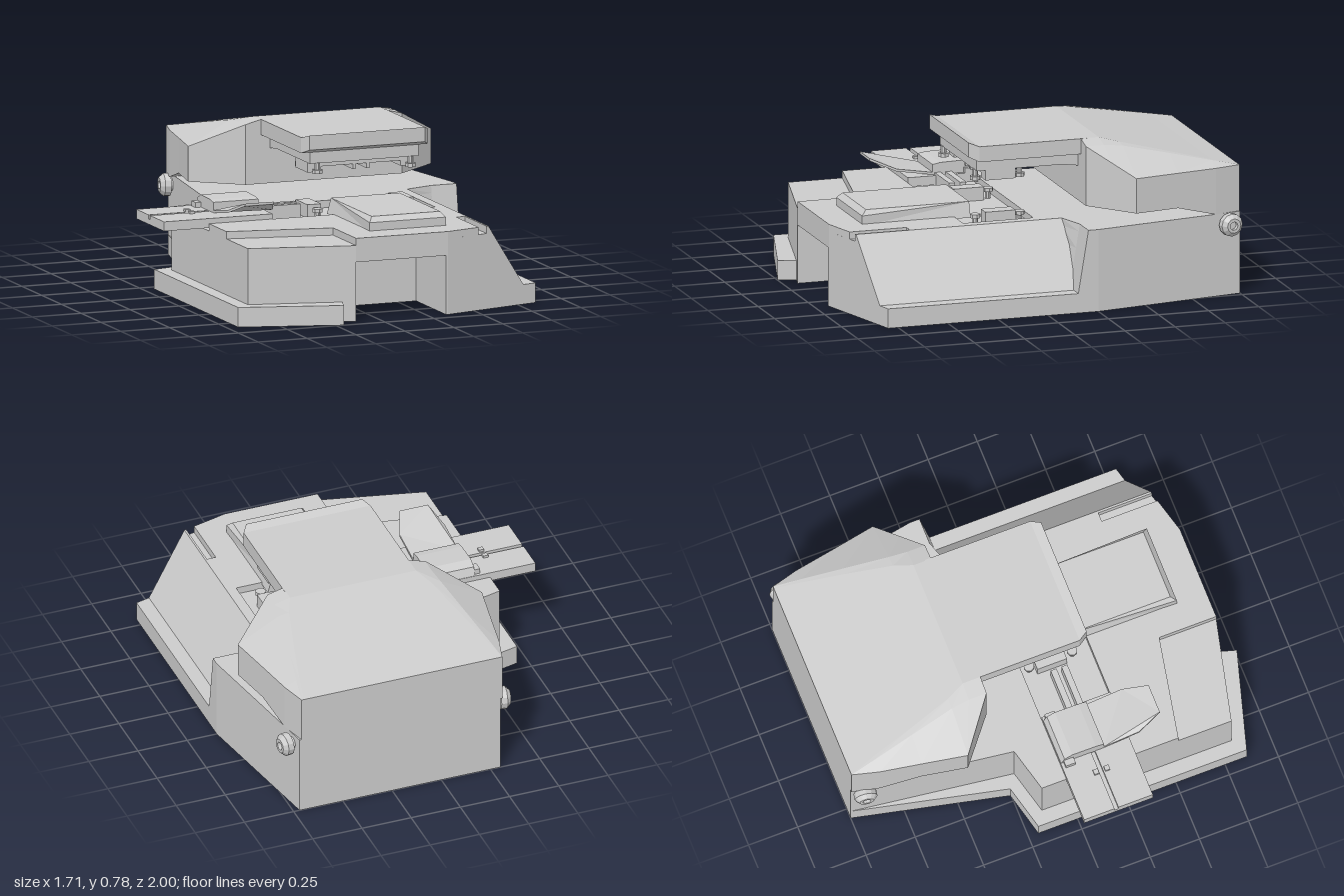
import * as THREE from 'three';

const mat = new THREE.MeshStandardMaterial({ color: 0xcccccc, flatShading: true, side: THREE.DoubleSide });
const MID = 0.2; // centre line of hood and head

export function createModel() {
  const model = new THREE.Group();

  const add = (name, geo) => {
    const m = new THREE.Mesh(geo, mat);
    m.name = name;
    model.add(m);
    return m;
  };
  const extrude = (pts, depth) => new THREE.ExtrudeGeometry(
    new THREE.Shape(pts.map(p => new THREE.Vector2(p[0], p[1]))), { depth, bevelEnabled: false });
  // Plan outline [x, z] raised from y0 to y1
  const slab = (name, pts, y0, y1) => {
    const g = extrude(pts.map(([x, z]) => [x, -z]), y1 - y0);
    return add(name, g.rotateX(-Math.PI / 2).translate(0, y0, 0));
  };
  // Side profile [z, y] swept from x0 to x1
  const sweep = (name, pts, x0, x1) => {
    const g = extrude(pts.map(([z, y]) => [-z, y]), x1 - x0);
    return add(name, g.rotateY(Math.PI / 2).translate(x0, 0, 0));
  };
  const box = (name, x0, x1, y0, y1, z0, z1) => add(name,
    new THREE.BoxGeometry(x1 - x0, y1 - y0, z1 - z0).translate((x0 + x1) / 2, (y0 + y1) / 2, (z0 + z1) / 2));
  const bend = (mesh, rule) => {
    const p = mesh.geometry.attributes.position, v = new THREE.Vector3();
    for (let i = 0; i < p.count; i++) {
      v.fromBufferAttribute(p, i);
      rule(v);
      p.setXYZ(i, v.x, v.y, v.z);
    }
    mesh.geometry.computeVertexNormals();
    return mesh;
  };

  // Body in three layers: notched, solid, and deck with its recesses
  const back = [[0.58, -0.155], [0.72, -0.2], [0.85, -0.2], [0.85, -0.25], [0.72, -1], [-0.3, -1], [-0.405, -0.21], [-0.625, -0.155]];
  const lean = v => { if (v.x > 0.7 && Math.abs(v.z + 0.2) < 0.001) v.z += 0.066 * (1 - v.y / 0.4); };
  bend(slab('lowerBody', [...back, [-0.625, 0.81], [-0.12, 0.93], [-0.12, 0.55], [0.34, 0.55], [0.34, 0.93],
    [0.35, 0.93], [0.58, 0.87]], 0, 0.285), lean);
  bend(slab('middleBody', [...back, [-0.625, 0.81], [-0.12, 0.93], [0.35, 0.93], [0.58, 0.87]], 0.285, 0.365), lean);
  bend(slab('deck', [...back, [-0.625, -0.03], [0.53, -0.03], [0.53, 0.32], [-0.625, 0.32], [-0.625, 0.54],
    [-0.12, 0.64], [-0.12, 0.93], [0.35, 0.93], [0.525, 0.884], [0.525, 0.6], [0.58, 0.6]], 0.365, 0.4), lean);

  // Low ledge on the right-hand side of the body
  slab('baseLedge', [[-0.3, -1], [-0.47, -0.255], [-0.695, -0.2], [-0.695, 0.86], [-0.21, 1], [-0.18, 0.9],
    [-0.2, 0.5], [-0.2, -0.9]], 0, 0.095);

  // Sloping flank, front end cut along the slanted front
  const flank = add('slopedFlank', extrude([[0.57, 0], [0.85, 0], [0.85, 0.095], [0.78, 0.095], [0.58, 0.4], [0.57, 0.4]], 1));
  bend(flank, v => { v.z = v.z > 0.5 ? 0.87 - (v.x - 0.58) * 0.26 : (v.x < 0.6 ? -0.155 : -0.21); });

  // Hood lofted through sections [z, bottom, half width, side top, ridge half width, ridge y, crown half width, crown y]
  const sections = [
    [-0.27, 0.455, 0.4, 0.745, 0.4, 0.745, 0.32, 0.765],
    [-0.36, 0.455, 0.51, 0.685, 0.4, 0.745, 0.32, 0.765],
    [-0.45, 0.455, 0.62, 0.625, 0.41, 0.738, 0.36, 0.745],
    [-0.67, 0.455, 0.58, 0.625, 0.45, 0.694, 0.42, 0.697],
    [-0.87, 0.4, 0.545, 0.625, 0.487, 0.652, 0.47, 0.653],
    [-1, 0.39, 0.51, 0.625, 0.51, 0.625, 0.5, 0.625],
  ].map(([z, b, w, s, rw, ry, cw, cy]) => {
    const half = [[w, b], [w, s], [rw, ry], [cw, cy]];
    return [...half, ...half.map(([x, y]) => [-x, y]).reverse()].map(([x, y]) => [MID + x, y, z]);
  });
  const tris = [];
  const n = 8, last = sections.length - 1;
  for (let i = 0; i < last; i++) {
    for (let j = 0; j < n; j++) {
      const a = sections[i][j], b = sections[i][(j + 1) % n];
      const d = sections[i + 1][j], c = sections[i + 1][(j + 1) % n];
      tris.push(a, d, c, a, c, b);
    }
  }
  for (let j = 1; j < n - 1; j++) {
    tris.push(sections[0][0], sections[0][j], sections[0][j + 1]);
    tris.push(sections[last][0], sections[last][j + 1], sections[last][j]);
  }
  const hood = new THREE.BufferGeometry();
  hood.setAttribute('position', new THREE.Float32BufferAttribute(tris.flat(), 3));
  hood.computeVertexNormals();
  add('hood', hood);

  // Head reaching forward from the hood, with a chamfered front lip
  bend(sweep('head', [[0.28, 0.71], [0.28, 0.78], [0.235, 0.765], [-0.3, 0.765], [-0.3, 0.69], [0.235, 0.69]], -0.12, 0.525),
    v => { if (v.z > 0.27) v.x += v.x < MID ? 0.025 : -0.03; });
  sweep('headUnderside', [[0.235, 0.635], [0.235, 0.7], [-0.3, 0.7], [-0.3, 0.62], [-0.19, 0.635]], -0.075, 0.48);
  box('upperPlate', -0.02, 0.43, 0.61, 0.64, 0.04, 0.19);
  for (const x of [0.17, 0.24]) box('pin', x - 0.007, x + 0.007, 0.585, 0.64, 0.04, 0.19);

  // Facing clamp blocks and bolts, on the head and in the channel
  const bolt = (x, y, z, dir) => {
    add('boltShank', new THREE.CylinderGeometry(0.014, 0.014, 0.05, 8).translate(x, y, z));
    add('boltHead', new THREE.CylinderGeometry(0.026, 0.026, 0.018, 8).translate(x, y + dir * 0.018, z));
  };
  for (const x of [-0.035, 0.44]) {
    box('upperBlock', x - 0.035, x + 0.035, 0.585, 0.64, 0.04, 0.19);
    box('lowerBlock', x - 0.035, x + 0.035, 0.36, 0.43, 0.04, 0.19);
    for (const z of [0.01, 0.23]) {
      bolt(x, 0.613, z, -1);
      bolt(x, 0.39, z, 1);
    }
  }

  // Central pad with bevelled front and sides
  bend(sweep('pad', [[0.24, 0.39], [0.78, 0.39], [0.78, 0.44], [0.755, 0.465], [0.24, 0.465]], 0.01, 0.4),
    v => { if (v.y > 0.46) v.x += v.x < MID ? 0.02 : -0.02; });

  // Sliding tray with a slot along it
  box('trayFloor', -0.855, -0.3, 0.38, 0.405, -0.03, 0.32);
  box('trayRear', -0.855, -0.3, 0.38, 0.425, -0.03, 0.125);
  box('trayFront', -0.855, -0.3, 0.38, 0.425, 0.145, 0.32);
  for (const z of [0.11, 0.165]) {
    box('rail', -0.33, -0.1, 0.365, 0.435, z - 0.015, z + 0.015);
    box('nub', -0.665, -0.64, 0.42, 0.437, z - 0.012, z + 0.012);
  }

  // Clamp cover, hinge rod and tapered flap
  sweep('clampCover', [[0.19, 0.42], [0.19, 0.475], [0.15, 0.482], [0.03, 0.485], [-0.01, 0.465], [-0.03, 0.42]], -0.55, -0.32);
  box('hingeRod', -0.58, -0.3, 0.42, 0.45, -0.015, 0.035);
  const flap = slab('flap', [[-0.55, 0.19], [-0.55, 0.37], [-0.51, 0.49], [-0.365, 0.49], [-0.32, 0.37], [-0.32, 0.19]], 0, 0.012);
  bend(flap, v => { v.y += 0.425 + (v.z > 0.37 ? 0.03 + (v.z - 0.37) * 0.42 : (v.z - 0.19) * 0.17); });

  // Knobs on both sides near the back
  const knob = [[0, -0.04], [0.03, -0.04], [0.03, -0.01], [0.055, -0.005], [0.055, 0.025], [0.035, 0.045], [0.02, 0.045], [0.02, 0.025], [0, 0.025]];
  for (const [side, x] of [[-1, -0.325], [1, 0.755]]) {
    const k = add('knob', new THREE.LatheGeometry(knob.map(p => new THREE.Vector2(...p)), 12));
    k.position.set(x, 0.35, -0.937);
    k.rotation.set(0, side * 0.16, -side * Math.PI / 2);
  }
  return model;
}
